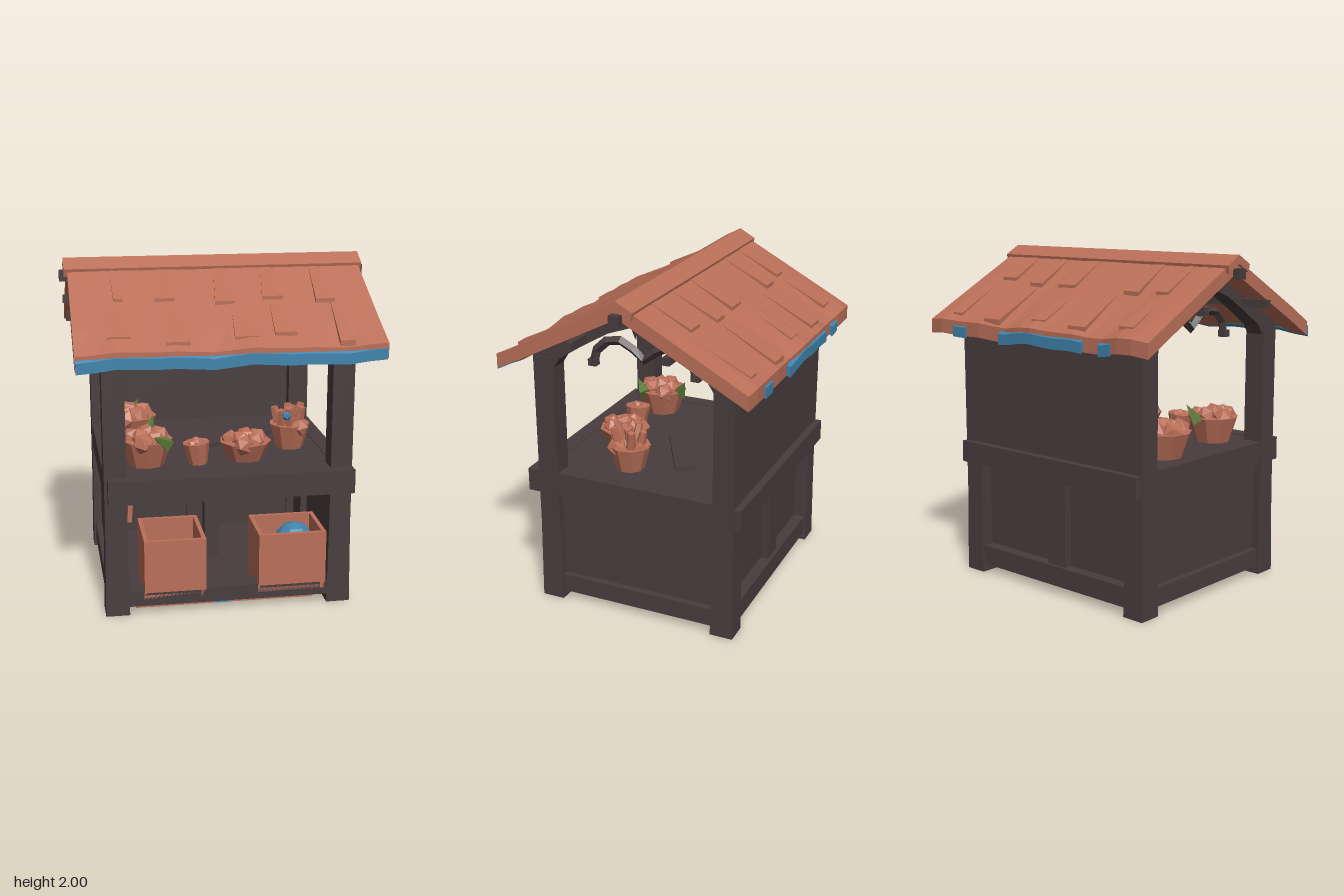
import * as THREE from 'three';

export function createModel() {
  const root = new THREE.Group();
  root.name = 'marketStall';
  const mat = (name, color) => {
    const m = new THREE.MeshStandardMaterial({ color });
    m.name = name;
    return m;
  };
  const wood = mat('darkWood', 0x483d3e);
  const clay = mat('terracotta', 0xba6f58);
  const blue = mat('blueCloth', 0x3f84ad);
  const green = mat('leafGreen', 0x5e7d3a);

  let seed = 7;
  const rnd = () => (seed = (seed * 16807) % 2147483647) / 2147483647;

  // Faceted mesh helper
  function add(name, geo, material, parent = root) {
    const g = geo.index ? geo.toNonIndexed() : geo;
    g.computeVertexNormals();
    const m = new THREE.Mesh(g, material);
    m.name = name;
    parent.add(m);
    return m;
  }
  // Box from its limits along each axis
  function box(name, x0, x1, y0, y1, z0, z1, material = wood, parent = root) {
    const g = new THREE.BoxGeometry(x1 - x0, y1 - y0, z1 - z0);
    g.translate((x0 + x1) / 2, (y0 + y1) / 2, (z0 + z1) / 2);
    return add(name, g, material, parent);
  }
  // Side profile given as [z, y], extruded along x
  function profile(name, pts, x, width, material) {
    const s = new THREE.Shape(pts.map(p => new THREE.Vector2(p[0], p[1])));
    const g = new THREE.ExtrudeGeometry(s, { depth: width, bevelEnabled: false });
    g.rotateY(Math.PI / 2).translate(x - width / 2, 0, 0);
    return add(name, g, material);
  }
  const mirrored = half => [...half, ...half.filter(p => p[0] !== 0).reverse().map(p => [-p[0], p[1]])];

  // Corner posts, slightly splayed at the foot
  for (const sx of [-1, 1]) for (const sz of [-1, 1]) {
    const g = new THREE.BoxGeometry(0.13, 1.56, 0.13, 1, 3, 1);
    const p = g.attributes.position;
    for (let i = 0; i < p.count; i++) {
      const k = p.getY(i) < -0.7 ? 1.07 : 0.97;
      p.setX(i, p.getX(i) * k);
      p.setZ(i, p.getZ(i) * k);
    }
    add('cornerPost', g.translate(sx * 0.655, 0.78, sz * 0.555), wood);
  }

  // Base cabinet
  box('floor', -0.66, 0.66, 0.045, 0.09, -0.57, 0.57);
  box('counterTop', -0.66, 0.66, 0.79, 0.835, -0.6, 0.62);
  box('frontCounterBeam', -0.7, 0.72, 0.7, 0.84, 0.59, 0.69);
  box('backCounterBeam', -0.71, 0.71, 0.7, 0.83, -0.66, -0.58);
  box('frontSill', -0.6, 0.6, 0.05, 0.14, 0.5, 0.62);
  box('sillTrim', -0.55, 0.5, 0.034, 0.05, 0.57, 0.605, clay);
  box('trimPatch', -0.09, 0.01, 0.035, 0.049, 0.605, 0.608, blue);
  box('backSill', -0.6, 0.6, 0.05, 0.17, -0.61, -0.5);
  box('backPanel', -0.62, 0.62, 0.08, 0.8, -0.54, -0.51);
  box('backStud', -0.1, 0.04, 0.15, 0.72, -0.59, -0.49);
  box('centreStud', -0.06, 0.03, 0.08, 0.8, -0.04, 0.05);
  for (const s of [-1, 1]) {
    const side = (name, a, b, y0, y1, z) => box(name, Math.min(s * a, s * b), Math.max(s * a, s * b), y0, y1, -z, z);
    side('sidePanel', 0.64, 0.67, 0.06, 0.8, 0.51);
    side('sideSill', 0.64, 0.71, 0.05, 0.16, 0.51);
    side('sideCounterBeam', 0.62, 0.715, 0.7, 0.84, 0.6);
    side('innerFrame', 0.56, 0.6, 0.09, 0.66, 0.03);
  }
  box('upperBackWall', -0.66, 0.66, 0.82, 1.61, -0.615, -0.56);
  const slat = box('hangingSlat', -0.014, 0.014, 0, 0.22, -0.05, 0.05, clay);
  slat.position.set(-0.548, 0.43, 0.2);
  slat.rotation.z = -0.08;

  // Arched gables and scrolled braces
  const outer = [[0.62, 1.6], [0, 1.92]];
  const inner = [[0.49, 1.5], [0.45, 1.56], [0.31, 1.65], [0.14, 1.75], [0, 1.8]];
  for (const s of [-1, 1]) {
    profile('gableArch', [[0.62, 1.5], ...mirrored(outer), [-0.62, 1.5], ...mirrored(inner).reverse()], s * 0.655, 0.11, wood);
    const peg = new THREE.ConeGeometry(0.04, 0.1, 4).rotateX(Math.PI);
    add('gablePeg', peg.translate(s * 0.655, 1.77, 0), wood);
    const path = mirrored([[0.32, 1.5], [0.3, 1.58], [0.2, 1.66], [0.1, 1.645], [0, 1.565]])
      .map(p => new THREE.Vector3(s * 0.55, p[1], p[0]));
    const brace = new THREE.TubeGeometry(new THREE.CatmullRomCurve3(path), 10, 0.028, 4);
    add('scrolledBrace', brace, wood);
    for (const e of [path[0], path[path.length - 1]]) {
      const tip = new THREE.BoxGeometry(0.05, 0.04, 0.05);
      add('braceTip', tip.translate(e.x, e.y + 0.01, e.z), wood);
    }
  }
  // Ridge beam and purlins
  box('ridgeBeam', -0.91, 0.91, 1.865, 1.925, -0.03, 0.03);
  for (const s of [-1, 1]) box('purlin', -0.885, 0.885, 1.685, 1.73, s * 0.29 - 0.02, s * 0.29 + 0.02);

  // Roof: wavy slabs with blue cloth hems along the eaves
  const roofY = z => 1.98 - 0.53 * z;
  const wave = (x, k) => Math.sin(x * 9 + k) * 0.55 + Math.sin(x * 17 + k * 2.3) * 0.45;
  function slab(name, x0, x1, z0, z1, drop, thick, amp, k, material, parent) {
    const g = new THREE.BoxGeometry(2, 1, 1, 16, 1, 4);
    const p = g.attributes.position;
    for (let i = 0; i < p.count; i++) {
      const t = p.getZ(i) + 0.5, x = x0 + (x1 - x0) * (p.getX(i) + 1) / 2;
      const z = z0 + (z1 - z0) * t, w = wave(x, k);
      const y = roofY(z) - drop + (p.getY(i) - 0.5) * thick;
      p.setXYZ(i, x, y + w * 0.014 * z / 0.75, z + (t > 0.9 ? w * amp : 0));
    }
    return add(name, g, material, parent);
  }
  // Hem spans in each half's own x, the back half being turned round
  const hems = [[[-0.86, 0.86]], [[-0.26, 0.4], [0.52, 0.61], [-0.65, -0.54]]];
  hems.forEach((spans, side) => {
    const half = new THREE.Group();
    half.name = side ? 'backRoof' : 'frontRoof';
    half.rotation.y = side * Math.PI;
    root.add(half);
    slab('roofBoards', -0.865, 0.865, 0, 0.75, 0, 0.085, 0.014, side, clay, half);
    for (const [a, b] of spans) slab('eaveHem', a, b, 0.715, 0.762, 0.025, 0.062, 0.004, side, blue, half);
    // Narrow lifted shingle splinters, thin at the top
    for (let row = 0; row < 2; row++) for (let i = 0; i < 5; i++) {
      const w = 0.05 + rnd() * 0.09, x = -0.68 + i * 0.34 + (rnd() - 0.5) * 0.2;
      const len = 0.24 + rnd() * 0.1, z0 = row ? 0.4 : 0.09, skew = (rnd() - 0.5) * 0.06;
      const g = new THREE.BoxGeometry(w, 0.03, len);
      const p = g.attributes.position;
      for (let j = 0; j < p.count; j++) {
        const low = p.getZ(j) > 0, z = z0 + (low ? len : 0);
        const up = p.getY(j) > 0 ? (low ? 0.02 : 0.002) : -0.03;
        p.setXYZ(j, x + (low ? p.getX(j) : p.getX(j) * 0.5 + skew), roofY(z) + up, z);
      }
      add('shingle', g, clay, half);
    }
  });
  profile('ridgeCap', mirrored([[0.1, 1.945], [0, 2.0]]).concat([[-0.09, 1.9], [0, 1.95], [0.09, 1.9]]), 0, 1.77, clay);

  // Open crates under the counter
  function crate(x, w, z0, z1) {
    const c = new THREE.Group();
    c.name = 'crate';
    root.add(c);
    const a = x - w / 2, b = x + w / 2, t = 0.025, y0 = 0.09, y1 = 0.455;
    box('crateBase', a, b, y0, y0 + t, z0, z1 - t, clay, c);
    box('crateFront', a, b, 0.14, y1, z1 - t, z1, clay, c);
    box('crateBack', a, b, y0, y1, z0, z0 + t, clay, c);
    box('crateLeft', b - t, b, y0, y1, z0 + t, z1 - t, clay, c);
    box('crateRight', a, a + t, y0, y1, z0 + t, z1 - t, clay, c);
  }
  crate(-0.32, 0.36, 0.25, 0.645);
  crate(0.37, 0.4, 0.3, 0.645);
  add('blueBall', new THREE.IcosahedronGeometry(0.12, 1).translate(0.42, 0.335, 0.46), blue);

  // Tapered baskets heaped with produce
  function basket(x, z, r, h, count, size, heap) {
    const b = new THREE.Group();
    b.name = 'basket';
    b.position.set(x, 0.835, z);
    root.add(b);
    add('basketBody', new THREE.CylinderGeometry(r, r * 0.68, h, 9).translate(0, h / 2, 0), clay, b);
    for (let i = 0; i < count; i++) {
      const a = i * 2.4, d = r * 0.72 * Math.sqrt(i / count);
      const m = add('fruit', new THREE.IcosahedronGeometry(r * size, 0), clay, b);
      m.position.set(Math.cos(a) * d, h + heap * (1 - d / r) - 0.015, Math.sin(a) * d);
      m.rotation.set(rnd() * 3, rnd() * 3, 0);
    }
    return b;
  }
  function leaf(parent, x, y, z, tilt, size = 1) {
    const m = add('leaf', new THREE.ConeGeometry(0.045, 0.13, 4), green, parent);
    m.position.set(x, y, z);
    m.rotation.set(tilt, 0, tilt * 0.7);
    m.scale.setScalar(size);
  }
  const a = basket(-0.45, 0.36, 0.155, 0.155, 7, 0.42, 0.03);
  leaf(a, 0.07, 0.17, 0.12, 0.9, 1.1);
  leaf(a, 0.04, 0.19, -0.16, -0.5);
  const b = basket(-0.5, -0.18, 0.17, 0.15, 7, 0.42, 0.03);
  leaf(b, 0.05, 0.17, -0.17, -0.9, 0.8);
  basket(0.14, 0.34, 0.155, 0.11, 7, 0.4, 0.03);
  basket(-0.15, 0.4, 0.08, 0.13, 3, 0.4, 0.01).rotation.z = 0.1;

  // Basket of upright root vegetables
  const d = basket(0.45, 0.15, 0.125, 0.15, 4, 0.5, 0);
  for (let i = 0; i < 7; i++) {
    const t = i * 2.4, r = i ? 0.07 : 0;
    const m = add('rootVegetable', new THREE.CylinderGeometry(0.022, 0.042, 0.2, 5), clay, d);
    m.position.set(Math.cos(t) * r, 0.15 + rnd() * 0.02, Math.sin(t) * r);
    m.rotation.set(Math.sin(t) * 0.25, 0, -Math.cos(t) * 0.25);
  }
  add('blueBerry', new THREE.IcosahedronGeometry(0.03, 0).translate(-0.04, 0.22, 0.1), blue, d);

  // Loose plank on the counter
  const plank = box('loosePlank', -0.25, 0.25, -0.012, 0.012, -0.06, 0.06);
  plank.position.set(0.15, 0.85, -0.05);
  plank.rotation.y = 0.5;
  return root;
}
